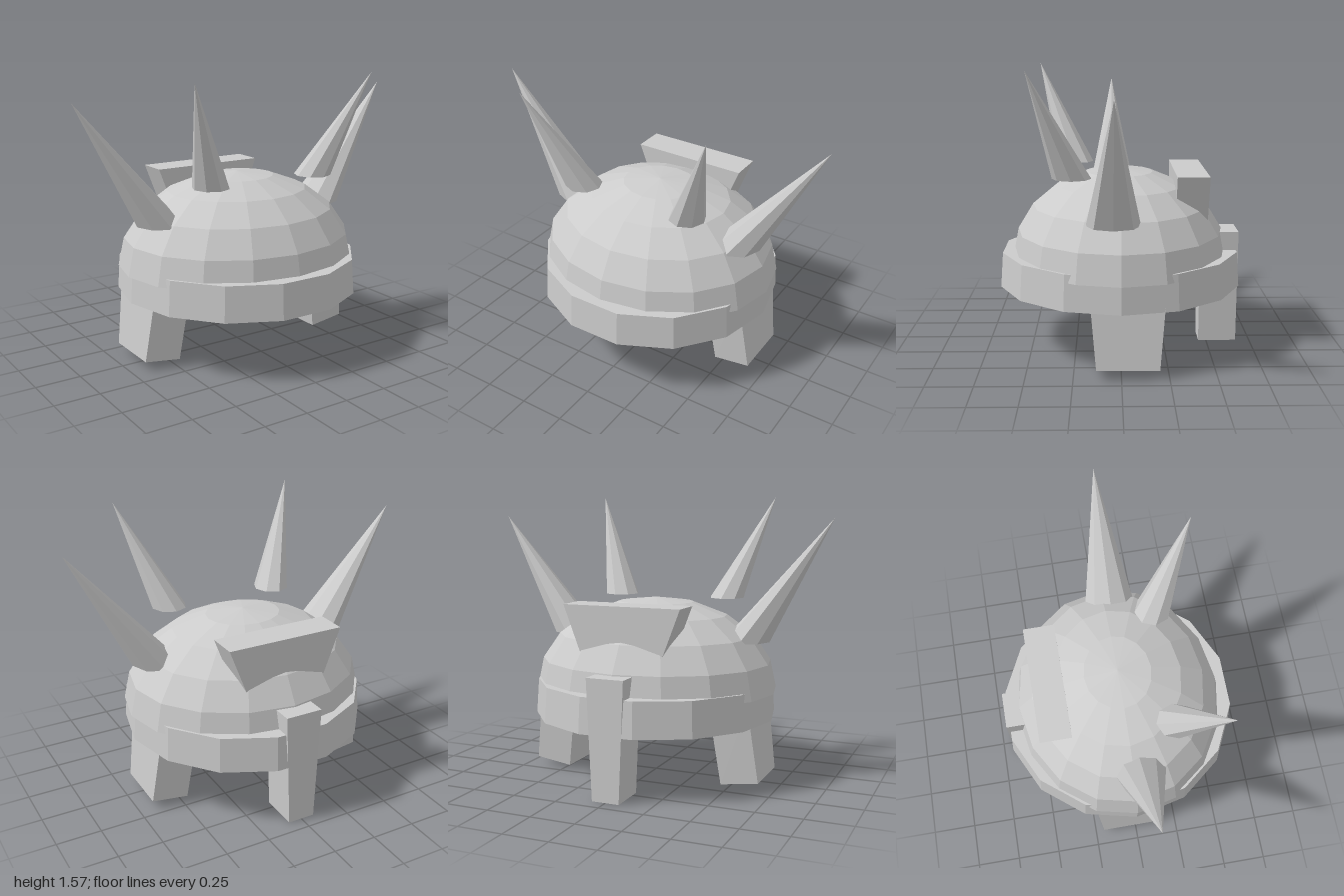
import * as THREE from 'three';

const material = new THREE.MeshStandardMaterial({ color: 0xcccccc, flatShading: true, side: THREE.DoubleSide });

export function createModel() {
  const model = new THREE.Group();

  const add = (name, geometry) => {
    const mesh = new THREE.Mesh(geometry, material);
    mesh.name = name;
    model.add(mesh);
    return mesh;
  };

  // Box whose corners are moved by a rule: place(x, y, z) gets -1 or 1 for each axis
  const shapedBox = (name, place) => {
    const geometry = new THREE.BoxGeometry(2, 2, 2);
    const p = geometry.attributes.position;
    for (let i = 0; i < p.count; i++) p.setXYZ(i, ...place(p.getX(i), p.getY(i), p.getZ(i)));
    geometry.computeVertexNormals();
    return add(name, geometry);
  };

  // Spike with a level base and a tip leaning away from it
  const spike = (name, base, tip, rx, rz) => {
    const h = tip[1] - base[1];
    const geometry = new THREE.ConeGeometry(1, h, 8).translate(0, h / 2, 0).scale(rx, 1, rz);
    const kx = (tip[0] - base[0]) / h, kz = (tip[2] - base[2]) / h;
    geometry.applyMatrix4(new THREE.Matrix4().set(
      1, kx, 0, base[0],
      0, 1, 0, base[1],
      0, kz, 1, base[2],
      0, 0, 0, 1));
    add(name, geometry);
  };

  // Oval dome
  add('dome', new THREE.SphereGeometry(1, 16, 5, 0, Math.PI * 2, 0, Math.PI / 2)
    .scale(0.697, 0.51, 0.61).translate(0, 0.5, 0));

  // Slightly tapered band around the bottom, with a flat side facing front
  add('brim', new THREE.CylinderGeometry(0.673, 0.687, 0.195, 14)
    .rotateY(Math.PI / 14).translate(0, 0.4475, 0));

  for (const s of [1, -1]) {
    const side = s > 0 ? 'left' : 'right';
    spike(side + 'SideSpike', [s * 0.525, 0.78, 0.04], [s, 1.46, 0.04], 0.132, 0.143);
    spike(side + 'FrontSpike', [s * 0.335, 0.995, 0.26], [s * 0.557, 1.573, 0.48], 0.1, 0.105);

    // Cheek guard: splays outward and narrows downward, with a sloping end
    shapedBox(side + 'CheekGuard', (x, y, z) => {
      const outer = x * s > 0;
      if (y > 0) return [s * (outer ? 0.62 : 0.4), 0.48, -0.034 + z * 0.202];
      return [s * (outer ? 0.675 : 0.465), outer ? 0.05 : 0.02, -0.034 + z * 0.165];
    });
  }

  // Upright neck guard at the back
  shapedBox('neckGuard', (x, y, z) => [x * (y > 0 ? 0.105 : 0.077), y > 0 ? 0.65 : 0, -0.563 + z * 0.108]);

  // Crosswise block high on the back, narrowing into the dome
  shapedBox('backCrest', (x, y, z) => [x * (y > 0 ? 0.335 : 0.22), y > 0 ? 1 : 0.7, -0.392 + z * 0.088]);

  return model;
}
